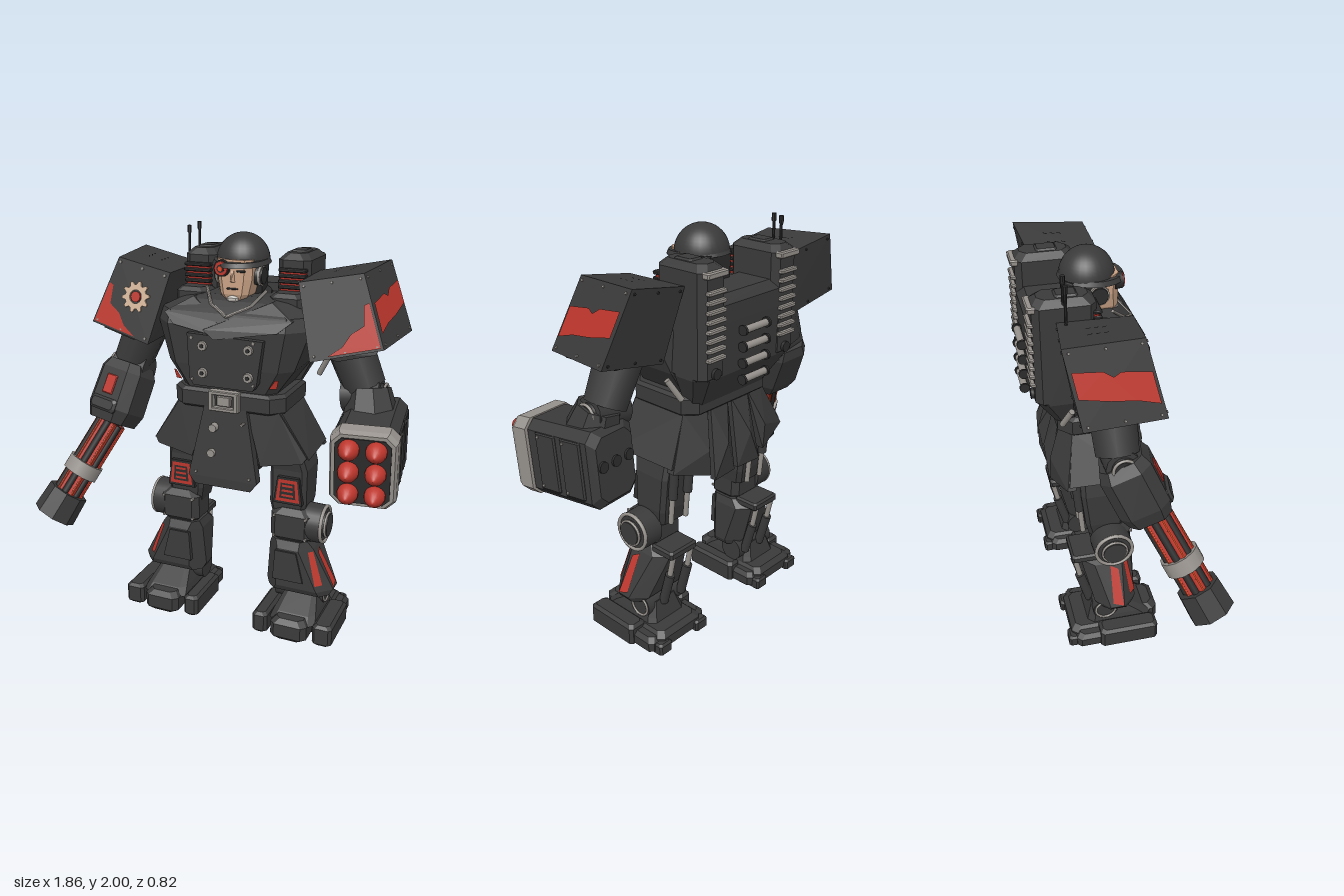
import * as THREE from 'three';
import { ConvexGeometry } from 'three/addons/geometries/ConvexGeometry.js';

const V = (a) => new THREE.Vector3(...a);
const flat = (color) => new THREE.MeshStandardMaterial({ color });

// Stack of chamfered rectangles, ring = [y, x0, x1, z0, z1, chamfer], rising in y
function loft(rings) {
  const R = rings.map(([y, x0, x1, z0, z1, c = 0.02]) => [[x0 + c, z1], [x1 - c, z1], [x1, z1 - c], [x1, z0 + c],
    [x1 - c, z0], [x0 + c, z0], [x0, z0 + c], [x0, z1 - c]].map(([x, z]) => [x, y, z]));
  const p = [], tri = (...t) => t.forEach((v) => p.push(...v));
  for (let k = 0; k + 1 < R.length; k++) for (let i = 0; i < 8; i++) {
    const j = (i + 1) % 8, a = R[k], b = R[k + 1];
    tri(a[i], a[j], b[j]); tri(a[i], b[j], b[i]);
  }
  const lo = R[0], hi = R[R.length - 1];
  for (let i = 1; i < 7; i++) { tri(hi[0], hi[i], hi[i + 1]); tri(lo[0], lo[i + 1], lo[i]); }
  const g = new THREE.BufferGeometry();
  g.setAttribute('position', new THREE.Float32BufferAttribute(p, 3));
  g.computeVertexNormals();
  return g;
}
const loftZ = (rings) => loft(rings).rotateX(Math.PI / 2);
// Symmetric loft, ring = [y, halfWidth, zBack, zFront, chamfer]
const sym = (rings) => loft(rings.map(([y, h, b, f, c]) => [y, -h, h, b, f, c]));
// Box with bevelled edges
const slab = (x0, x1, y0, y1, z0, z1, b = 0.015) => loft([
  [y0, x0 + b, x1 - b, z0 + b, z1 - b, b], [y0 + b, x0, x1, z0, z1, b],
  [y1 - b, x0, x1, z0, z1, b], [y1, x0 + b, x1 - b, z0 + b, z1 - b, b]]);
const hull = (pts) => new ConvexGeometry(pts.map(V));
// Convex panel thickened along d
const sheet = (pts, d) => hull([...pts, ...pts.map((p) => p.map((v, i) => v + d[i]))]);
// Cylinder between two points; faceted when it has few sides
function rod(a, b, r0, r1 = r0, n = 16) {
  const A = V(a), B = V(b), dir = B.clone().sub(A);
  let g = new THREE.CylinderGeometry(r1, r0, dir.length(), n);
  if (n <= 8) { g = g.toNonIndexed(); g.computeVertexNormals(); }
  g.applyQuaternion(new THREE.Quaternion().setFromUnitVectors(V([0, 1, 0]), dir.normalize()));
  const m = A.add(B).multiplyScalar(0.5);
  return g.translate(m.x, m.y, m.z);
}
// Ring facing sideways
const hoop = (r, t, x, y, z) => new THREE.TorusGeometry(r, t, 8, 28).rotateY(Math.PI / 2).translate(x, y, z);
// Point on a four-cornered face, lifted along its normal
function on([a, b, c, d], u, v, lift = 0.006) {
  const A = V(a), B = V(b), D = V(d);
  const n = B.clone().sub(A).cross(D.clone().sub(A)).normalize();
  return A.lerp(B, u).lerp(D.lerp(V(c), u), v).addScaledVector(n, lift).toArray();
}
// Flat painted polygon on a face (uv corners counter-clockwise)
function paint(quad, uvs) {
  const faces = THREE.ShapeUtils.triangulateShape(uvs.map((q) => new THREE.Vector2(...q)), []);
  const g = new THREE.BufferGeometry();
  g.setAttribute('position', new THREE.Float32BufferAttribute(faces.flat().flatMap((i) => on(quad, ...uvs[i])), 3));
  g.computeVertexNormals();
  return g;
}
const rivet = (quad, u, v) => rod(on(quad, u, v, -0.002), on(quad, u, v, 0.006), 0.006, 0.006, 8);
function mirrored(group) {
  const out = new THREE.Group();
  for (const m of group.children) {
    const g = (m.geometry.index ? m.geometry.toNonIndexed() : m.geometry.clone()).scale(-1, 1, 1);
    for (const at of Object.values(g.attributes)) for (let i = 0; i < at.count; i += 3) for (let k = 0; k < at.itemSize; k++) {
      const t = at.getComponent(i + 1, k);
      at.setComponent(i + 1, k, at.getComponent(i + 2, k)); at.setComponent(i + 2, k, t);
    }
    const c = new THREE.Mesh(g, m.material); c.name = m.name; out.add(c);
  }
  return out;
}

export function createModel() {
  const armor = flat(0x3a3a3a), trim = flat(0x2c2c2c), red = flat(0xbc362c), steel = flat(0x95908b),
    skin = flat(0xc9a285), glow = flat(0xe04a26), sand = flat(0xd2b398), pale = flat(0xc8c4be);
  Object.entries({ armor, trim, red, steel, skin, glow, sand, pale }).forEach(([n, m]) => { m.name = n; });
  const root = new THREE.Group(); root.name = 'walkingRobot';
  const body = new THREE.Group(); body.name = 'body'; body.position.x = 0.075; root.add(body);
  const add = (to, name, geo, mat = armor) => { const m = new THREE.Mesh(geo, mat); m.name = name; to.add(m); return m; };
  // Group whose +z runs from a towards b
  const aim = (name, a, b) => {
    const g = new THREE.Group(); g.name = name; g.position.set(...a);
    g.quaternion.setFromUnitVectors(V([0, 0, 1]), V(b).sub(V(a)).normalize()); body.add(g); return g;
  };

  // Torso and back
  add(body, 'chest', sym([[1.24, 0.22, -0.2, 0.13, 0.04], [1.38, 0.32, -0.24, 0.15, 0.06], [1.57, 0.385, -0.22, 0.16, 0.09],
    [1.63, 0.37, -0.22, 0.135, 0.08], [1.68, 0.27, -0.2, 0.07, 0.06], [1.7, 0.18, -0.2, 0.03, 0.05]]));
  add(body, 'backpack', sym([[1.22, 0.24, -0.26, -0.15, 0.03], [1.38, 0.32, -0.36, -0.15, 0.05], [1.62, 0.32, -0.365, -0.15, 0.05],
    [1.7, 0.24, -0.365, -0.15, 0.04], [1.74, 0.2, -0.33, -0.15, 0.03]]));
  for (let i = 0; i < 4; i++) {
    const y = 1.34 + i * 0.077;
    add(body, 'exhaustPipe', rod([-0.08, y, -0.385], [0.08, y, -0.385], 0.017), steel);
    for (const s of [-1, 1]) add(body, 'exhaustCap', rod([s * 0.074, y, -0.385], [s * 0.086, y, -0.385], 0.024), trim);
    add(body, 'exhaustMount', slab(-0.05, 0.05, y - 0.022, y - 0.004, -0.385, -0.34, 0.004), trim);
  }
  for (const [x, y] of [[-0.36, 1.98], [-0.305, 2]]) {
    add(body, 'antenna', rod([x, 1.7, -0.23], [x, y, -0.23], 0.007, 0.007, 8), trim);
    add(body, 'antennaTip', rod([x, y - 0.035, -0.23], [x, y, -0.23], 0.011, 0.011, 8), trim);
  }
  // Coat front
  add(body, 'coatPanel', sheet([[-0.15, 1.29, 0.185], [0.15, 1.29, 0.185], [0.17, 1.32, 0.185], [0.2, 1.53, 0.19], [-0.18, 1.54, 0.19], [-0.17, 1.32, 0.185]], [0, 0, -0.06]));
  for (const x of [-0.1, 0.13]) for (const y of [1.485, 1.355]) {
    add(body, 'button', rod([x, y, 0.18], [x, y, 0.2], 0.026, 0.022, 12), steel);
    add(body, 'buttonCentre', rod([x, y, 0.19], [x, y, 0.205], 0.01, 0.01, 8), trim);
  }
  add(body, 'underLapel', sheet([[-0.06, 1.61, 0.14], [-0.2, 1.69, 0.07], [-0.32, 1.62, 0.14], [-0.26, 1.57, 0.17], [0, 1.53, 0.19]], [0, 0, -0.05]));
  add(body, 'overLapel', sheet([[0.05, 1.61, 0.145], [0.2, 1.69, 0.08], [0.32, 1.62, 0.14], [0.26, 1.57, 0.175], [-0.04, 1.52, 0.2], [-0.1, 1.56, 0.19]], [0, 0, -0.05]));
  add(body, 'collar', rod([0, 1.58, -0.09], [0, 1.69, -0.05], 0.17, 0.145, 12), trim);
  for (const s of [-1, 1]) {
    add(body, 'collarTrim', rod([s * 0.15, 1.73, 0.02], [s * 0.1, 1.665, 0.09], 0.008, 0.008, 8), steel);
    add(body, 'collarTrim', rod([s * 0.1, 1.665, 0.09], [0, 1.62, 0.145], 0.008, 0.008, 8), steel);
  }
  // Belt and hips
  add(body, 'belt', sym([[1.17, 0.275, -0.25, 0.145, 0.06], [1.18, 0.285, -0.26, 0.155, 0.06], [1.25, 0.285, -0.26, 0.155, 0.06], [1.265, 0.27, -0.24, 0.14, 0.06]]));
  for (const s of [-1, 1]) {
    add(body, 'buckleSide', slab(s * 0.065 - 0.012, s * 0.065 + 0.012, 1.17, 1.27, 0.14, 0.185, 0.004), steel);
    add(body, 'buckleBar', slab(-0.077, 0.077, 1.22 + s * 0.04 - 0.01, 1.22 + s * 0.04 + 0.01, 0.14, 0.185, 0.004), steel);
  }
  add(body, 'buckleCentre', slab(-0.035, 0.035, 1.195, 1.245, 0.14, 0.178, 0.004), steel);
  add(body, 'pelvis', sym([[0.84, 0.13, -0.16, 0.06, 0.03], [0.96, 0.25, -0.2, 0.08, 0.04], [1.19, 0.25, -0.22, 0.12, 0.04]]), trim);
  add(body, 'frontSkirt', sheet([[-0.11, 1.18, 0.155], [0.11, 1.18, 0.155], [0.18, 0.83, 0.19], [0.145, 0.785, 0.19],
    [-0.145, 0.785, 0.19], [-0.18, 0.83, 0.19]], [0, 0, -0.05]));
  for (const [x, y] of [[-0.05, 1.085], [-0.06, 0.955]]) add(body, 'skirtButton', rod([x, y, 0.16], [x, y, 0.195], 0.022, 0.02, 12), steel);
  for (const [x, y] of [[-0.14, 0.85], [0.14, 0.85], [0.1, 1.12]]) add(body, 'skirtRivet', rod([x, y, 0.16], [x, y, 0.196], 0.007, 0.007, 8), steel);

  // Head
  add(body, 'face', sym([[1.67, 0.045, -0.14, 0.055, 0.02], [1.71, 0.07, -0.15, 0.068, 0.025], [1.78, 0.085, -0.16, 0.068, 0.03],
    [1.87, 0.088, -0.16, 0.068, 0.03]]), skin);
  add(body, 'nose', hull([[-0.008, 1.83, 0.064], [0.008, 1.83, 0.064], [-0.016, 1.765, 0.06], [0.016, 1.765, 0.06], [0, 1.772, 0.09]]), skin);
  add(body, 'neckGuard', sym([[1.66, 0.09, -0.17, -0.05, 0.03], [1.86, 0.1, -0.18, -0.02, 0.03]]), trim);
  add(body, 'beard', slab(-0.028, 0.028, 1.672, 1.705, 0.03, 0.077, 0.01), pale);
  add(body, 'mouth', slab(-0.028, 0.028, 1.733, 1.741, 0.05, 0.073, 0.002), trim);
  add(body, 'eye', slab(0.022, 0.062, 1.814, 1.824, 0.05, 0.073, 0.002), trim);
  add(body, 'brow', sheet([[0.015, 1.832, 0.073], [0.07, 1.842, 0.073], [0.07, 1.85, 0.073], [0.015, 1.84, 0.073]], [0, 0, -0.02]), trim);
  add(body, 'eyepieceRim', rod([-0.05, 1.83, 0.05], [-0.05, 1.83, 0.086], 0.04, 0.038, 16), trim);
  add(body, 'eyepiece', rod([-0.05, 1.83, 0.08], [-0.05, 1.83, 0.092], 0.034, 0.032, 16), red);
  add(body, 'eyepieceRing', rod([-0.05, 1.83, 0.085], [-0.05, 1.83, 0.095], 0.019, 0.019, 12), trim);
  add(body, 'eyepieceLens', rod([-0.05, 1.83, 0.09], [-0.05, 1.83, 0.098], 0.012, 0.012, 10), glow);
  add(body, 'helmet', new THREE.SphereGeometry(0.127, 28, 12, 0, Math.PI * 2, 0, Math.PI / 2).translate(0, 1.855, -0.065));
  add(body, 'helmetBrim', new THREE.CylinderGeometry(0.128, 0.138, 0.022, 28).scale(1, 1, 1.12).rotateX(0.06).translate(0, 1.855, -0.045));

  // Everything that repeats on both sides
  const side = new THREE.Group(); side.name = 'leftHalf'; body.add(side);
  const S = (name, geo, mat) => add(side, name, geo, mat);
  S('earpiece', rod([0.08, 1.79, -0.03], [0.12, 1.79, -0.03], 0.045, 0.04, 12), trim);
  S('earpieceRim', rod([0.1, 1.79, -0.03], [0.112, 1.79, -0.03], 0.048, 0.048, 12), steel);
  // Back pod with grille and vents
  S('pod', slab(0.16, 0.32, 1.36, 1.89, -0.365, -0.085, 0.03));
  S('podCap', slab(0.2, 0.28, 1.87, 1.898, -0.26, -0.16, 0.008));
  S('podTopVent', slab(0.175, 0.305, 1.835, 1.865, -0.385, -0.34, 0.006), steel);
  S('podBase', slab(0.16, 0.32, 1.6, 1.72, -0.12, 0.02, 0.02));
  S('grille', slab(0.18, 0.305, 1.715, 1.82, -0.1, -0.075, 0.004), red);
  for (let i = 0; i < 5; i++) S('grilleSlat', slab(0.175, 0.31, 1.703 + i * 0.026, 1.72 + i * 0.026, -0.1, -0.062, 0.004), trim);
  for (let i = 0; i < 8; i++) S('vent', slab(0.185, 0.295, 1.47 + i * 0.042, 1.49 + i * 0.042, -0.385, -0.35, 0.005), steel);
  S('hosePort', rod([0.24, 1.41, -0.34], [0.24, 1.41, -0.38], 0.025), trim);
  S('sideStrut', rod([0.39, 1.385, -0.22], [0.335, 1.285, -0.255], 0.014), steel);
  S('chestMark', paint([[0.22, 1.305, 0.152], [0.255, 1.305, 0.142], [0.265, 1.35, 0.148], [0.25, 1.35, 0.155]], [[0, 0], [1, 0], [1, 1], [0, 1]]), red);
  for (const y of [1.32, 1.52]) S('coatRivet', rod([0.155, y, 0.18], [0.155, y, 0.195], 0.007, 0.007, 8), steel);
  // Shoulder pad
  const A = [0.32, 1.79, 0.07], B = [0.61, 1.845, 0.045], C = [0.735, 1.53, 0.116], D = [0.41, 1.45, 0.15];
  const A2 = [0.32, 1.795, -0.265], B2 = [0.65, 1.86, -0.305], C2 = [0.779, 1.545, -0.25], D2 = [0.41, 1.465, -0.22];
  const front = [D, C, B, A], outer = [C, C2, B2, B], top = [A, B, B2, A2], back = [C2, D2, A2, B2];
  S('shoulderPad', hull([A, B, C, D, A2, B2, C2, D2]));
  S('padUnderside', hull([[0.45, 1.47, 0.09], [0.71, 1.53, 0.07], [0.69, 1.495, 0.08], [0.52, 1.45, 0.09], [0.45, 1.5, -0.2], [0.68, 1.55, -0.2], [0.66, 1.5, -0.2]]), trim);
  S('padFrontStripe', paint(front, [[0.25, 0.03], [0.97, 0.03], [0.97, 0.62], [0.89, 0.6], [0.82, 0.34], [0.62, 0.26], [0.47, 0.12]]), red);
  S('padSideStripe', paint(outer, [[0.04, 0.2], [0.3, 0.28], [0.6, 0.32], [0.96, 0.4], [0.96, 0.72], [0.6, 0.68], [0.5, 0.6], [0.4, 0.65], [0.04, 0.6]]), red);
  for (const q of [front, outer, back]) for (const u of [0.07, 0.5, 0.93]) for (const v of [0.06, 0.94]) S('padRivet', rivet(q, u, v), q === back ? trim : steel);
  for (const u of [0.38, 0.62]) for (const v of [0.4, 0.5, 0.6]) S('padSlot', paint(top, [[u, v], [u + 0.02, v], [u + 0.05, v + 0.06], [u + 0.03, v + 0.06]]), trim);
  // Upper arm and elbow
  S('upperArm', rod([0.48, 1.6, -0.08], [0.615, 1.3, -0.07], 0.115, 0.1, 10));
  S('elbow', rod([0.52, 1.255, -0.06], [0.7, 1.275, -0.06], 0.08, 0.08, 12));
  S('elbowCap', rod([0.7, 1.275, -0.06], [0.72, 1.278, -0.06], 0.055, 0.045, 16), trim);
  S('elbowRing', hoop(0.05, 0.007, 0.716, 1.277, -0.06), steel);
  // Skirt panels
  S('hipPanel', sheet([[0.1, 1.18, 0.13], [0.26, 1.18, 0.12], [0.4, 0.97, 0.11], [0.38, 0.94, 0.12], [0.18, 0.91, 0.15]], [0, 0, -0.04]));
  S('sidePanel', sheet([[0.27, 1.18, 0.11], [0.27, 1.18, -0.2], [0.39, 0.95, -0.24], [0.41, 0.96, 0.1]], [-0.04, 0, 0]));
  S('backPanel', sheet([[0.14, 1.18, -0.23], [0.27, 1.18, -0.2], [0.39, 0.93, -0.25], [0.19, 0.87, -0.3], [0.2, 1, -0.3]], [0, 0, 0.04]));
  S('coatTail', sheet([[0.012, 1.18, -0.24], [0.13, 1.18, -0.24], [0.16, 0.83, -0.3], [0.012, 0.83, -0.29], [0.08, 1, -0.31]], [0, 0, 0.03]));
  // Thigh with marked plate
  S('thigh', loft([[0.6, 0.2, 0.36, -0.14, 0.02], [0.68, 0.185, 0.375, -0.16, 0.03], [0.86, 0.185, 0.375, -0.18, 0.03], [1, 0.16, 0.34, -0.18, 0.06]]));
  const plate = [[0.215, 0.69, 0.05], [0.365, 0.69, 0.05], [0.345, 0.83, 0.05], [0.235, 0.83, 0.05]];
  S('thighPlate', sheet(plate, [0, 0, -0.04]), trim);
  const mark = (z, uvs, mat) => S('thighMark', paint(plate.map(([x, y]) => [x, y, z]), uvs), mat);
  const box = (u0, v0, u1, v1) => [[u0, v0], [u1, v0], [u1, v1], [u0, v1]];
  mark(0.047, box(0.08, 0.1, 0.92, 0.92), red);
  mark(0.049, box(0.2, 0.22, 0.8, 0.8), trim);
  for (const v of [0.3, 0.48, 0.66]) mark(0.051, box(0.28, v, 0.72, v + 0.08), red);
  for (const x of [0.23, 0.33]) {
    S('thighPiston', rod([x, 0.62, -0.17], [x, 0.78, -0.185], 0.013), steel);
    S('thighPistonSleeve', rod([x, 0.76, -0.185], [x, 0.92, -0.2], 0.022), armor);
  }
  // Knee
  S('knee', slab(0.2, 0.415, 0.48, 0.66, -0.12, 0.06, 0.03));
  S('kneeDrum', rod([0.36, 0.575, -0.04], [0.462, 0.575, -0.04], 0.1, 0.097, 24));
  S('kneeRing', hoop(0.091, 0.009, 0.462, 0.575, -0.04), steel);
  S('kneeHub', rod([0.45, 0.575, -0.04], [0.485, 0.575, -0.04], 0.064, 0.058, 24));
  S('kneeHubRing', hoop(0.062, 0.006, 0.476, 0.575, -0.04), steel);
  for (const x of [0.225, 0.39]) for (const y of [0.515, 0.625]) S('kneeRivet', rod([x, y, 0.05], [x, y, 0.066], 0.007, 0.007, 8), steel);
  // Shin with painted stripes
  S('shin', loft([[0.21, 0.19, 0.51, -0.11, 0.055, 0.04], [0.24, 0.175, 0.53, -0.14, 0.07, 0.07], [0.45, 0.19, 0.42, -0.19, 0.07, 0.06], [0.49, 0.205, 0.39, -0.12, 0.05, 0.03]]));
  S('shinPanel', sheet([[0.23, 0.28, 0.08], [0.39, 0.28, 0.08], [0.35, 0.44, 0.08], [0.24, 0.44, 0.08]], [0, 0, -0.03]));
  S('shinFrontStripe', paint([[0.46, 0.24, 0.07], [0.53, 0.24, 0], [0.42, 0.45, 0.01], [0.36, 0.45, 0.07]], [[0.05, 0.15], [0.5, 0.15], [0.9, 0.95], [0.55, 0.95]]), red);
  S('shinSideStripe', paint([[0.53, 0.24, 0], [0.53, 0.24, -0.07], [0.42, 0.45, -0.13], [0.42, 0.45, 0.01]], [[0.05, 0.02], [0.75, 0.1], [0.45, 0.95], [0.16, 0.85]]), red);
  S('calfBracket', slab(0.22, 0.4, 0.46, 0.505, -0.24, -0.1, 0.01));
  for (const x of [0.25, 0.37]) {
    S('calfPiston', rod([x, 0.48, -0.225], [x, 0.32, -0.19], 0.014), steel);
    S('calfPistonSleeve', rod([x, 0.36, -0.2], [x, 0.18, -0.15], 0.024));
  }
  // Ankle and foot
  S('ankle', rod([0.21, 0.175, -0.085], [0.47, 0.175, -0.085], 0.065, 0.065, 20));
  S('ankleRing', hoop(0.052, 0.006, 0.472, 0.175, -0.085), steel);
  S('instep', loft([[0.09, 0.24, 0.48, -0.18, 0.16, 0.03], [0.125, 0.25, 0.47, -0.17, 0.12, 0.03], [0.2, 0.28, 0.44, -0.15, 0, 0.02]]));
  S('sole', slab(0.22, 0.51, 0, 0.1, -0.27, 0.08, 0.025));
  S('middleToe', slab(0.26, 0.45, 0, 0.12, -0.1, 0.2, 0.025));
  for (const [a, b] of [[0.155, 0.235], [0.475, 0.575]]) S('sideToe', slab(a, b, 0, 0.115, -0.13, 0.17, 0.015));
  S('heel', slab(0.18, 0.555, 0, 0.085, -0.25, -0.06, 0.02));
  for (const x of [0.24, 0.49]) S('heelLug', slab(x - 0.04, x + 0.04, 0, 0.065, -0.29, -0.2, 0.01));
  const right = mirrored(side); right.name = 'rightHalf'; body.add(right);

  // Cog emblem on the right pad
  const cog = new THREE.Shape(), N = 10;
  for (let i = 0; i < N * 4; i++) {
    const t = (i / (N * 4)) * Math.PI * 2, r = i % 4 < 2 ? 0.076 : 0.058;
    cog[i ? 'lineTo' : 'moveTo'](Math.cos(t) * r, Math.sin(t) * r);
  }
  cog.holes.push(new THREE.Path().absarc(0, 0, 0.033, 0, Math.PI * 2, true));
  const at = on(front, 0.44, 0.55, 0.001); at[0] *= -1;
  const emblem = aim('cogEmblem', at, [at[0] - 0.0045, at[1] + 0.0255, at[2] + 0.1031]);
  add(emblem, 'cog', new THREE.ExtrudeGeometry(cog, { depth: 0.008, bevelEnabled: false }), sand);
  add(emblem, 'cogHub', rod([0, 0, 0], [0, 0, 0.009], 0.026), red);

  // Right forearm and rotary gun
  const fore = aim('rightForearm', [-0.62, 1.28, -0.06], [-0.68, 0.99, 0.07]);
  add(fore, 'forearm', loftZ([[0, -0.1, 0.1, -0.1, 0.1, 0.04], [0.05, -0.125, 0.125, -0.12, 0.12, 0.05], [0.25, -0.13, 0.13, -0.12, 0.12, 0.05], [0.32, -0.105, 0.105, -0.1, 0.1, 0.04]]));
  add(fore, 'forearmMark', slab(-0.032, 0.032, 0.11, 0.127, 0.085, 0.185, 0.004), red);
  add(fore, 'forearmPanel', slab(-0.08, 0.08, 0.1, 0.135, 0.205, 0.275, 0.012));
  const gun = aim('rotaryGun', [-0.675, 1, 0.08], [-0.905, 0.525, 0.32]);
  add(gun, 'gunCore', rod([0, 0, -0.03], [0, 0, 0.46], 0.048), trim);
  for (let i = 0; i < 6; i++) {
    const ring = (turn, r, z) => [Math.cos((i + turn) * Math.PI / 3) * r, Math.sin((i + turn) * Math.PI / 3) * r, z];
    add(gun, 'barrel', rod(ring(0, 0.06, 0), ring(0, 0.06, 0.46), 0.019, 0.019, 10), trim);
    add(gun, 'heatedRail', rod(ring(0.5, 0.056, 0), ring(0.5, 0.056, 0.46), 0.021, 0.021, 10), red);
    add(gun, 'glowLine', rod(ring(0.5, 0.074, 0), ring(0.5, 0.074, 0.46), 0.007, 0.007, 8), glow);
  }
  add(gun, 'gunCollar', rod([0, 0, 0.245], [0, 0, 0.32], 0.094, 0.094, 12), steel);
  add(gun, 'muzzle', rod([0, 0, 0.43], [0, 0, 0.578], 0.105, 0.112, 8), armor);
  add(gun, 'muzzleRing', new THREE.RingGeometry(0.058, 0.084, 24).translate(0, 0, 0.583), glow);
  add(gun, 'muzzleBore', rod([0, 0, 0.56], [0, 0, 0.584], 0.05, 0.05, 16), armor);

  // Left rocket launcher
  const pod = new THREE.Group(); pod.name = 'rocketLauncher';
  pod.position.set(0.685, 1.05, 0.015); pod.rotation.set(0.09, 0.1, 0); body.add(pod);
  add(pod, 'launcherBody', loftZ([[-0.2, -0.11, 0.11, -0.15, 0.15, 0.04], [-0.17, -0.138, 0.138, -0.18, 0.18, 0.04], [0.18, -0.138, 0.138, -0.18, 0.18, 0.04]]));
  add(pod, 'launcherFrame', loftZ([[0.185, -0.15, 0.15, -0.183, 0.183, 0.04], [0.255, -0.15, 0.15, -0.183, 0.183, 0.04], [0.28, -0.14, 0.14, -0.172, 0.172, 0.04]]), steel);
  add(pod, 'launcherFace', loftZ([[0.26, -0.124, 0.124, -0.156, 0.156, 0.03], [0.286, -0.124, 0.124, -0.156, 0.156, 0.03]]), trim);
  for (const s of [-1, 1]) for (const z of [-0.08, 0.07]) {
    add(pod, 'launcherSidePanel', slab(s * 0.14 - 0.008, s * 0.14 + 0.008, -0.13, 0.14, z - 0.06, z + 0.06, 0.007));
    for (const y of [-0.11, 0.12]) add(pod, 'launcherRivet', rod([s * 0.142, y, z + 0.04], [s * 0.152, y, z + 0.04], 0.007, 0.007, 8), steel);
  }
  for (const x of [-0.06, 0.06]) for (const y of [-0.107, 0, 0.107])
    add(pod, 'rocket', new THREE.LatheGeometry([[0.046, 0.27], [0.047, 0.3], [0.042, 0.322], [0.028, 0.345], [0.012, 0.362], [0, 0.366]]
      .map((p) => new THREE.Vector2(...p)), 18).rotateX(Math.PI / 2).translate(x, y, 0), red);
  for (const x of [-0.08, 0, 0.08]) add(pod, 'rearPort', rod([x, 0.02, -0.19], [x, 0.02, -0.21], 0.026), trim);
  add(body, 'launcherMount', rod([0.64, 1.3, -0.06], [0.66, 1.18, -0.03], 0.1, 0.13, 8));
  return root;
}
